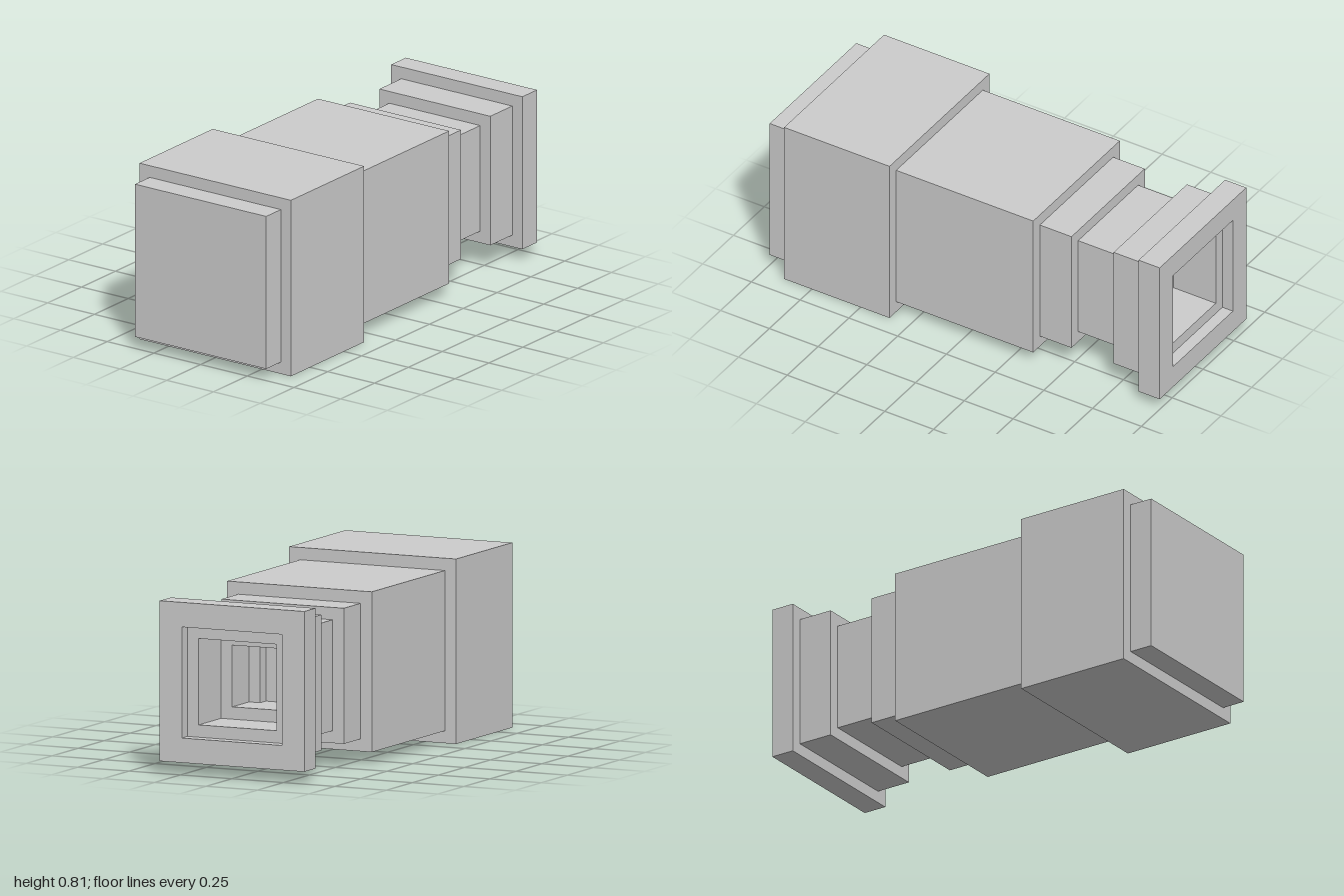
import * as THREE from 'three';

const U = 2 / 37; // module unit: every step is a whole number of these

export function createModel() {
  const model = new THREE.Group();
  const material = new THREE.MeshStandardMaterial({ color: 0xcccccc, flatShading: true });

  // Square section along x, in units from the closed end; optional square bore
  function section(name, start, end, width, bore = 0) {
    const length = (end - start) * U;
    const h = width * U / 2;
    let geometry;
    if (bore) {
      const b = bore * U / 2;
      const shape = new THREE.Shape([[-h, -h], [h, -h], [h, h], [-h, h]].map(p => new THREE.Vector2(...p)));
      shape.holes.push(new THREE.Path([[-b, -b], [-b, b], [b, b], [b, -b]].map(p => new THREE.Vector2(...p))));
      geometry = new THREE.ExtrudeGeometry(shape, { depth: length, bevelEnabled: false });
      geometry.translate(0, 0, -length / 2);
      geometry.rotateY(Math.PI / 2);
    } else {
      geometry = new THREE.BoxGeometry(length, 2 * h, 2 * h);
    }
    const mesh = new THREE.Mesh(geometry, material);
    mesh.name = name;
    mesh.position.set((start + end) / 2 * U - 1, 7.5 * U, 0);
    model.add(mesh);
  }

  // Closed end and main body
  section('endCap', 0, 2, 13);
  section('wideCollar', 2, 12, 15);
  section('mainBarrel', 12, 25, 13);
  section('shoulder', 25, 28, 11);

  // Hollow neck and stepped open end
  section('neck', 28, 32, 9, 5);
  section('rearFlange', 32, 35, 11, 7);
  section('rimBase', 35, 36, 13, 7);
  section('rimFront', 36, 37, 13, 9);

  // Small step along one side of the bore floor
  const step = new THREE.Mesh(new THREE.BoxGeometry(U, 5 * U, U), material);
  step.name = 'boreStep';
  step.position.set(28.5 * U - 1, 7.5 * U, 2 * U);
  model.add(step);

  return model;
}
